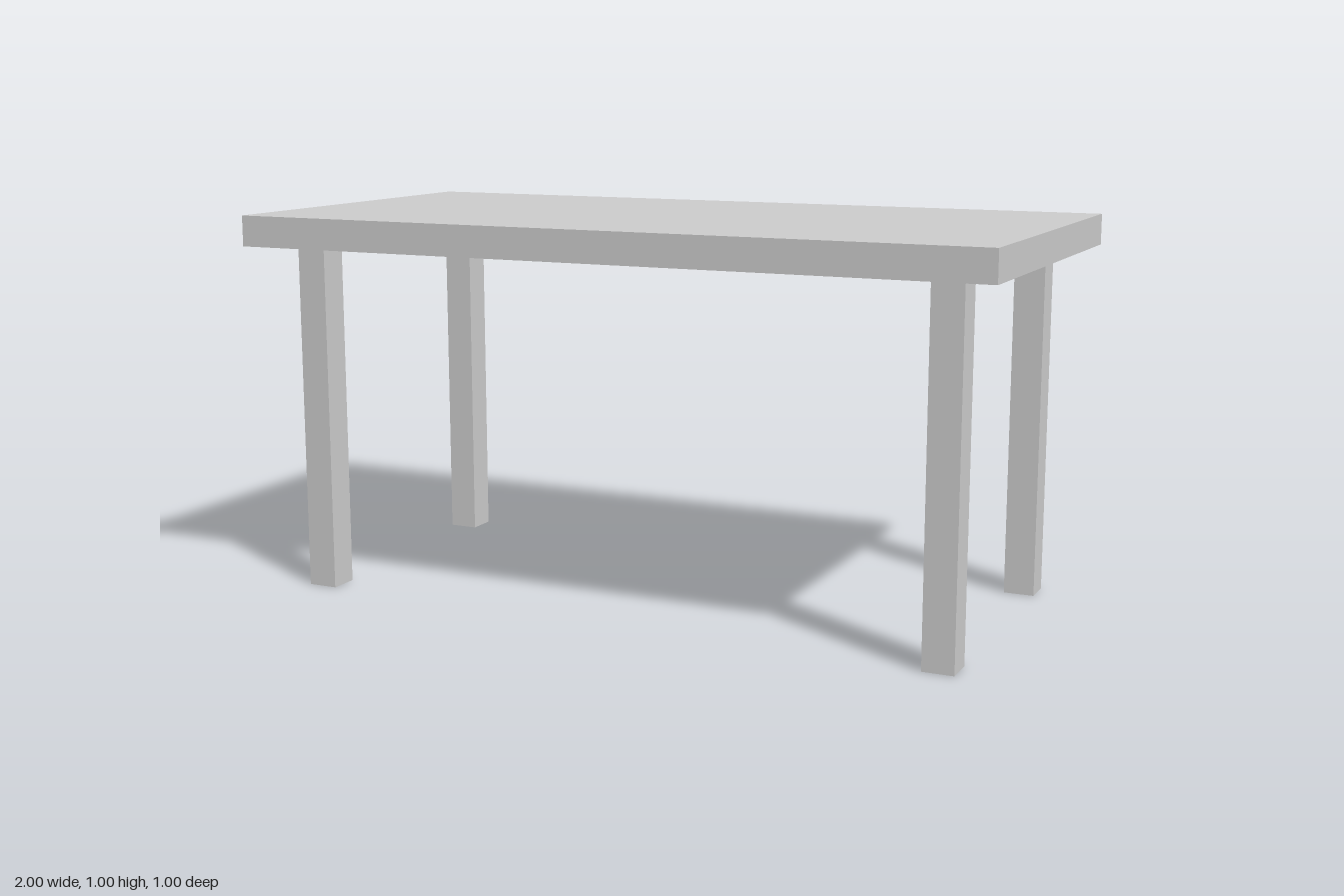
import * as THREE from 'three';

const TOP = { width: 2, thickness: 0.08, depth: 1 };
const LEG = { side: 0.08, height: 0.92, x: 0.86, z: 0.36 };

export function createModel() {
  const table = new THREE.Group();
  table.name = 'table';
  const material = new THREE.MeshStandardMaterial({ color: 0xcccccc });

  // Tabletop slab resting on the legs
  const top = new THREE.Mesh(
    new THREE.BoxGeometry(TOP.width, TOP.thickness, TOP.depth), material);
  top.name = 'tabletop';
  top.position.y = LEG.height + TOP.thickness / 2;
  table.add(top);

  // Four square legs, mirrored in x and z
  const legGeometry = new THREE.BoxGeometry(LEG.side, LEG.height, LEG.side);
  for (const [sx, side] of [[1, 'Left'], [-1, 'Right']]) {
    for (const [sz, end] of [[1, 'front'], [-1, 'back']]) {
      const leg = new THREE.Mesh(legGeometry, material);
      leg.name = `${end}${side}Leg`;
      leg.position.set(sx * LEG.x, LEG.height / 2, sz * LEG.z);
      table.add(leg);
    }
  }
  return table;
}
